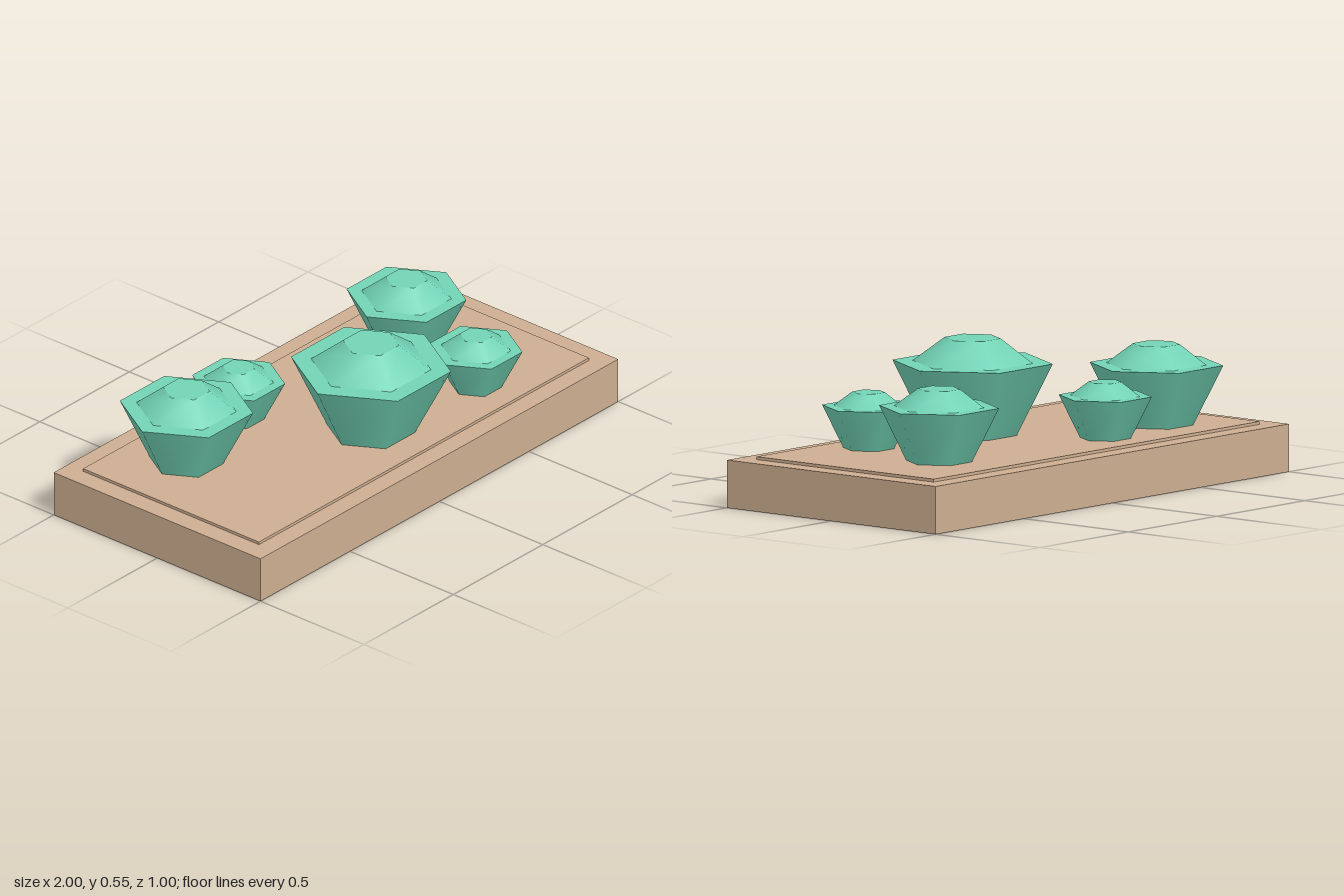
import * as THREE from 'three';

export function createModel() {
  const model = new THREE.Group();
  const clay = new THREE.MeshStandardMaterial({ color: 0xcdae91 });
  clay.name = 'tan clay';
  const green = new THREE.MeshStandardMaterial({ color: 0x72d3b5 });
  green.name = 'succulent green';

  function add(parent, name, geometry, material, y) {
    const mesh = new THREE.Mesh(geometry, material);
    mesh.name = name;
    mesh.position.y = y;
    parent.add(mesh);
    return mesh;
  }

  // Shallow planter with a thin raised soil bed
  const trayTop = 0.177, bedTop = 0.188;
  add(model, 'tray', new THREE.BoxGeometry(2, trayTop, 1), clay, trayTop / 2);
  add(model, 'soilBed', new THREE.BoxGeometry(1.845, 0.03, 0.85), clay, bedTop - 0.015);

  // Six-sided rosette: flared cup with a tapered crown, all scaled from its radius
  function rosette(x, z, r) {
    const plant = new THREE.Group();
    plant.name = 'succulent';
    plant.position.set(x, bedTop, z);
    plant.rotation.y = Math.PI / 6;
    add(plant, 'outerLeaves', new THREE.CylinderGeometry(r, r * 0.55, r * 0.9, 6), green, r * 0.45);
    add(plant, 'crown', new THREE.CylinderGeometry(r * 0.35, r * 0.75, r * 0.3, 6), green, r * 1.05);
    model.add(plant);
  }

  const plants = [
    [-0.003, 0.172, 0.298],
    [-0.628, -0.18, 0.248],
    [0.573, -0.155, 0.223],
    [-0.253, -0.252, 0.173],
    [0.497, 0.247, 0.173],
  ];
  plants.forEach(([x, z, r]) => rosette(x, z, r));

  return model;
}
